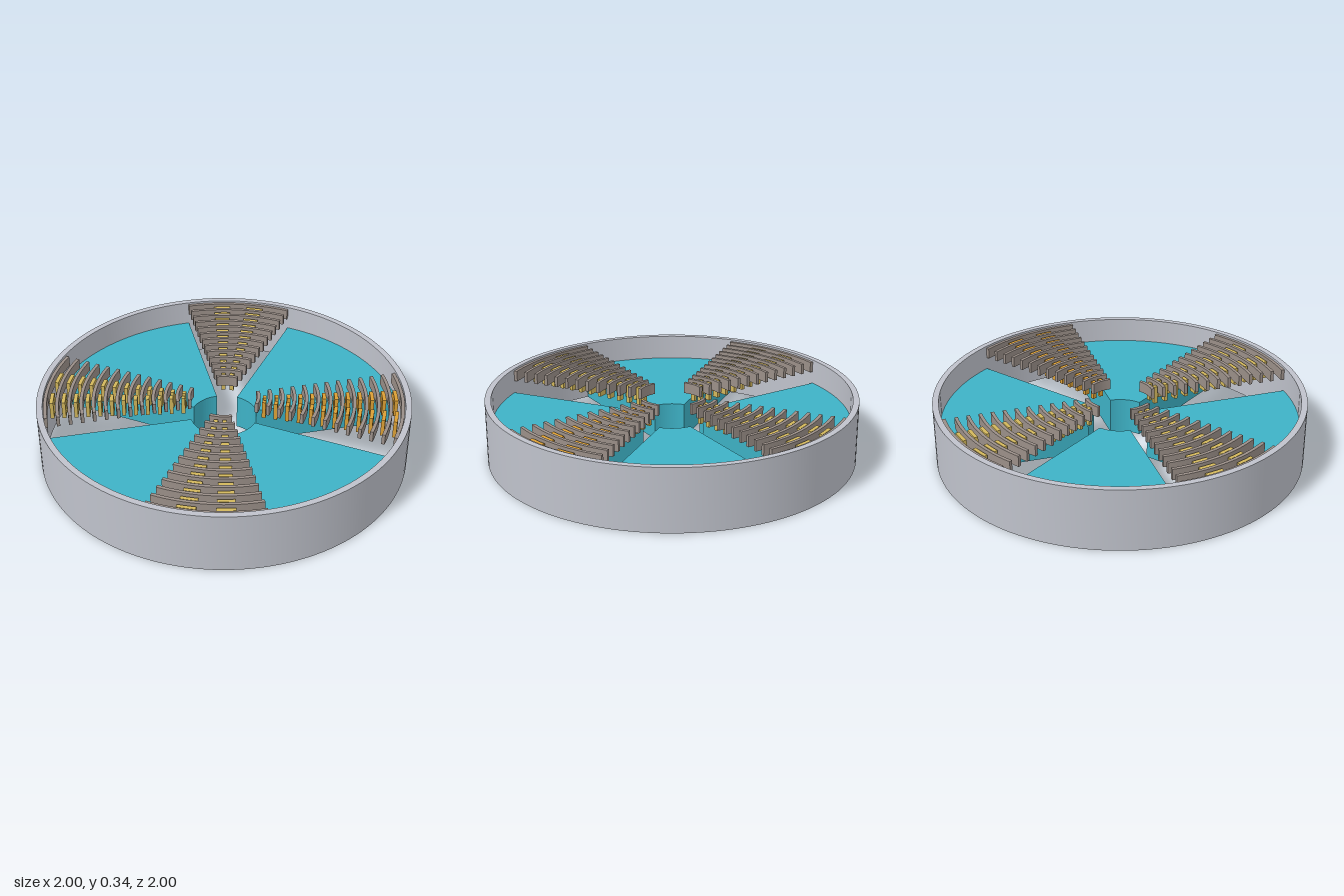
import * as THREE from 'three';
import { toCreasedNormals } from 'three/addons/utils/BufferGeometryUtils.js';

const mat = (name, color) => {
  const m = new THREE.MeshStandardMaterial({ color });
  m.name = name;
  return m;
};
const rad = THREE.MathUtils.degToRad;

// Extrude a flat outline upward from y0 to y1, smooth around curves and sharp at edges
function extrudeUp(shape, y0, y1, segments) {
  const g = new THREE.ExtrudeGeometry(shape, { depth: y1 - y0, bevelEnabled: false, curveSegments: segments });
  g.rotateX(-Math.PI / 2);
  g.translate(0, y0, 0);
  return toCreasedNormals(g, rad(30));
}

// Curved block between two radii and two angles (degrees, counterclockwise from +x seen from above)
function sector(rIn, rOut, a0, a1, y0, y1, segments) {
  const s = new THREE.Shape();
  s.absarc(0, 0, rOut, rad(a0), rad(a1), false);
  s.absarc(0, 0, rIn, rad(a1), rad(a0), true);
  s.closePath();
  return extrudeUp(s, y0, y1, segments);
}

export function createModel() {
  const model = new THREE.Group();
  model.name = 'slottedDrum';
  const steel = mat('steel', 0xbfc2cb);
  const teal = mat('teal', 0x3eb2c6);
  const taupe = mat('taupe', 0x9a8f88);
  const gold = mat('gold', 0xd2b75c);
  const amber = mat('amber', 0xdb9f35);

  const add = (parent, name, geometry, material) => {
    const m = new THREE.Mesh(geometry, material);
    m.name = name;
    parent.add(m);
    return m;
  };

  // Outer ring
  const ring = new THREE.Shape();
  ring.absarc(0, 0, 1, 0, Math.PI * 2, false);
  const bore = new THREE.Path();
  bore.absarc(0, 0, 0.967, 0, Math.PI * 2, true);
  ring.holes.push(bore);
  add(model, 'outerRing', extrudeUp(ring, 0, 0.34, 72), steel);

  // Shared geometry for one quarter: a solid wedge, arc slats and pairs of bars between them
  const wedge = sector(0.18, 0.967, 36, 90, 0, 0.2, 24);
  const slats = [], bars = [];
  const pitch = 0.064, first = 0.187, count = 13;
  for (let i = 0; i < count; i++) {
    const r = first + i * pitch;
    slats.push(sector(r - 0.009, r + 0.009, 0, 36, 0.27, 0.33, 14));
    if (i === count - 1) continue;
    const b = r + pitch / 2;
    for (const a of [12, 24]) bars.push(sector(b - 0.01, b + 0.01, a - 3, a + 3, 0.22, 0.32, 2));
  }

  // Four quarters; the right-hand one carries amber bars
  for (let q = 0; q < 4; q++) {
    const quarter = new THREE.Group();
    quarter.name = 'quarter' + (q + 1);
    quarter.rotation.y = q * Math.PI / 2;
    add(quarter, 'wedge', wedge, teal);
    slats.forEach(g => add(quarter, 'arcSlat', g, taupe));
    bars.forEach(g => add(quarter, 'bar', g, q === 0 ? amber : gold));
    model.add(quarter);
  }
  return model;
}
